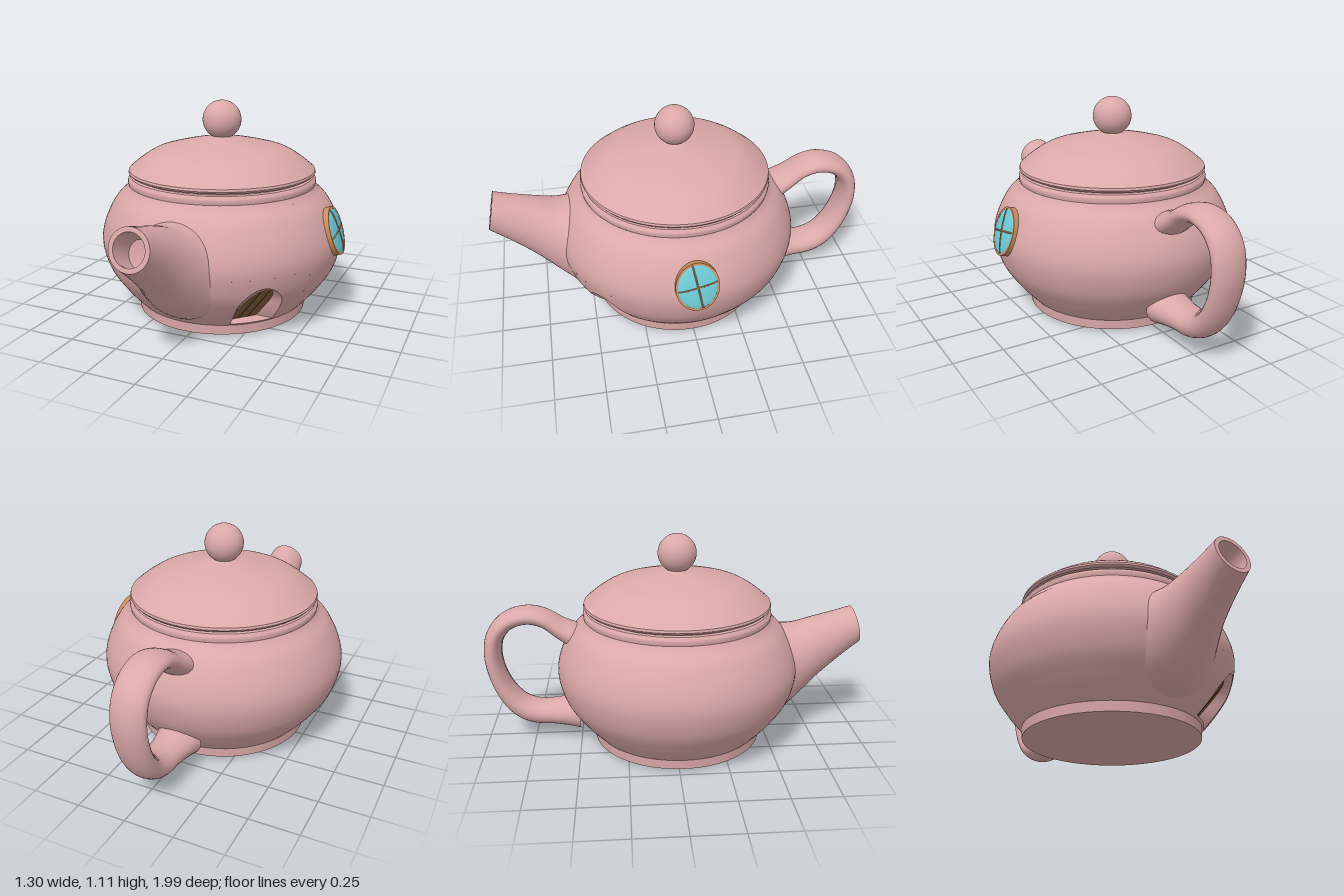
import * as THREE from 'three';
import { mergeGeometries, mergeVertices, toCreasedNormals } from 'three/addons/utils/BufferGeometryUtils.js';

const CX = -0.018, CZ = 0.022; // axis of the pot
const V3 = (x, y, z) => new THREE.Vector3(x, y, z);
const V2 = (x, y) => new THREE.Vector2(x, y);
const lerp = THREE.MathUtils.lerp;

function mat(name, hex) {
  const m = new THREE.MeshStandardMaterial({ color: hex });
  m.name = name;
  return m;
}

// Grid surface: point(i, j) returns a Vector3, outward side is u x v
function surface(nu, nv, point) {
  const pos = [], idx = [];
  for (let j = 0; j <= nv; j++) for (let i = 0; i <= nu; i++) pos.push(...point(i, j).toArray());
  for (let j = 0; j < nv; j++) for (let i = 0; i < nu; i++) {
    const a = j * (nu + 1) + i, b = a + 1, c = a + nu + 1, d = c + 1;
    idx.push(a, b, d, a, d, c);
  }
  const g = new THREE.BufferGeometry();
  g.setAttribute('position', new THREE.Float32BufferAttribute(pos, 3));
  g.setIndex(idx);
  return g;
}
function smooth(...parts) {
  const g = mergeVertices(mergeGeometries(parts), 1e-4);
  g.computeVertexNormals();
  return g;
}

// Bowl radius as a function of height
const bowl = new THREE.SplineCurve([
  [0.45, 0.062], [0.485, 0.1], [0.535, 0.16], [0.6, 0.26], [0.632, 0.385],
  [0.615, 0.49], [0.56, 0.6], [0.502, 0.66], [0.488, 0.682]].map(p => V2(...p))).getPoints(160);
function radius(y) {
  let k = 1;
  while (k < bowl.length - 1 && bowl[k].y < y) k++;
  const a = bowl[k - 1], b = bowl[k];
  return lerp(a.x, b.x, THREE.MathUtils.clamp((y - a.y) / (b.y - a.y), 0, 1));
}
function onBowl(deg, y) {
  const r = radius(y), a = THREE.MathUtils.degToRad(deg);
  return V3(CX + r * Math.sin(a), y, CZ + r * Math.cos(a));
}

// Arched outline in a -1..1 square, counter-clockwise from the bottom left
function archOutline() {
  const p = [];
  for (let i = 0; i < 12; i++) p.push(V2(-1 + i / 6, -1));
  for (let i = 0; i < 6; i++) p.push(V2(1, -1 + i / 6));
  for (let i = 0; i < 24; i++) p.push(V2(Math.cos(i * Math.PI / 24), Math.sin(i * Math.PI / 24)));
  for (let i = 0; i <= 6; i++) p.push(V2(-1, -i / 6));
  return p;
}

export function createModel() {
  const model = new THREE.Group();
  const clay = mat('pink clay', 0xdba8a8);
  const wood = mat('door wood', 0x83593a);
  const seam = mat('dark wood', 0x53361f);
  const trim = mat('window trim', 0xcc8c5c);
  const pane = mat('window glass', 0x6fcdd9);
  const add = (name, geo, m, parent = model) => {
    const mesh = new THREE.Mesh(geo, m);
    mesh.name = name;
    parent.add(mesh);
    return mesh;
  };

  // Foot, neck and lid are turned around the pot axis
  const turned = (name, pts, crease = 0.6) => {
    const g = new THREE.LatheGeometry(pts.map(p => V2(...p)), 80);
    add(name, toCreasedNormals(g, crease), clay).position.set(CX, 0, CZ);
  };
  turned('foot', [[0, 0], [0.447, 0.012], [0.45, 0.062]]);
  turned('neck', [[0.488, 0.682], [0.491, 0.695], [0.49, 0.708], [0.478, 0.723], [0.458, 0.725], [0.458, 0.738]]);
  const dome = new THREE.SplineCurve([[0.468, 0.77], [0.42, 0.808], [0.35, 0.85], [0.26, 0.877],
    [0.15, 0.902], [0.062, 0.917]].map(p => V2(...p))).getPoints(24).map(p => [p.x, p.y]);
  turned('lid', [[0.45, 0.734], [0.478, 0.734], [0.487, 0.745], [0.484, 0.757], ...dome, [0.05, 0.925], [0.045, 0.95]]);
  add('lidKnob', new THREE.SphereGeometry(0.1, 40, 28), clay).position.set(CX, 1.007, CZ);

  // Bowl with an arched doorway left open
  const arch = archOutline(), n = arch.length - 1;
  const mid = 44, half = 22, y0 = 0.062, yTop = 0.36, yEnd = 0.682;
  const wrap = surface(79, 40, (i, j) => onBowl(lerp(mid + half, mid - half + 360, i / 79), lerp(y0, yEnd, j / 40)));
  const above = surface(12, 24, (i, j) => onBowl(mid - half + 2 * half * i / 12, lerp(yTop, yEnd, j / 24)));
  const opening = p => {
    const h = (p.y + 1) / 2;
    return [mid - 1.5 + p.x * (14 - 4.5 * h), 0.073 + 0.235 * h];
  };
  const around = surface(n, 6, (i, j) => {
    const p = arch[i], k = Math.max(Math.abs(p.x), Math.abs(p.y)), o = opening(p);
    const t = j / 6;
    return onBowl(lerp(mid + half * p.x / k, o[0], t), lerp(lerp(y0, yTop, (p.y / k + 1) / 2), o[1], t));
  });
  add('bowl', smooth(wrap, above, around), clay);

  // Sunken door, standing at an angle inside the doorway
  const u = V3(0.54, -0.09, -0.83).normalize();
  const nrm = u.clone().cross(V3(0.59, 0.757, 0.27)).normalize();
  const v = nrm.clone().cross(u);
  const door = new THREE.Group();
  door.name = 'door';
  door.applyMatrix4(new THREE.Matrix4().makeBasis(u, v, nrm).setPosition(0.237, 0.083, 0.347));
  model.add(door);
  const flat = arch.map(p => V2(p.x * 0.082, (p.y + 1) / 2 * 0.265));
  const inner = flat.map(p => V3(p.x, p.y, 0).applyMatrix4(door.matrix));
  const jamb = surface(n, 1, (i, j) => j ? inner[i] : onBowl(...opening(arch[i])));
  const jambMesh = add('doorway', toCreasedNormals(smooth(jamb), 0.7), clay);
  jambMesh.material = clay;
  add('doorPanel', new THREE.ShapeGeometry(new THREE.Shape(flat.slice(0, n))), wood, door);
  for (const s of [-1, 1]) {
    add('plankSeam', new THREE.BoxGeometry(0.004, 0.25, 0.004), seam, door).position.set(s * 0.027, 0.126, 0);
  }

  // Spout: sections given by top point, bottom point (z, y) and half width
  const sections = [
    [0.40, 0.64, 0.40, 0.07, 0.26], [0.53, 0.612, 0.53, 0.105, 0.25], [0.64, 0.612, 0.66, 0.205, 0.185],
    [0.75, 0.643, 0.77, 0.31, 0.138], [0.86, 0.672, 0.895, 0.42, 0.112], [0.955, 0.698, 1.0, 0.505, 0.1]];
  const tops = new THREE.CatmullRomCurve3(sections.map(s => V3(0, s[1], s[0])));
  const bots = new THREE.CatmullRomCurve3(sections.map(s => V3(s[4], s[3], s[2])));
  const spoutPoint = (t, a, k = 1) => {
    const T = tops.getPoint(t), B = bots.getPoint(t), w = B.x * k, s = 0.5 + 0.5 * k * Math.sin(a);
    return V3(CX + w * Math.cos(a), lerp(B.y, T.y, s), lerp(B.z, T.z, s));
  };
  const turn = i => i / 40 * Math.PI * 2;
  add('spout', smooth(surface(40, 30, (i, j) => spoutPoint(j / 30, turn(i)))), clay);
  const lining = [[1, 1], [1, 0.77], [0.92, 0.72], [0.8, 0.55], [0.78, 0]];
  add('spoutMouth', toCreasedNormals(smooth(surface(40, 4,
    (i, j) => spoutPoint(lining[j][0], turn(i), lining[j][1]))), 0.7), clay);

  // Handle: flattened loop behind the bowl, flared where it joins
  const path = new THREE.CatmullRomCurve3([
    [-0.46, 0.55], [-0.58, 0.615], [-0.67, 0.675], [-0.76, 0.695], [-0.86, 0.665], [-0.925, 0.59], [-0.945, 0.49],
    [-0.93, 0.38], [-0.885, 0.27], [-0.82, 0.19], [-0.74, 0.152], [-0.64, 0.145], [-0.5, 0.145]].map(p => V3(CX, p[1], p[0])));
  const steps = 60, X = V3(1, 0, 0);
  add('handle', smooth(surface(28, steps, (i, j) => {
    const t = j / steps, a = i / 28 * Math.PI * 2;
    const N = path.getTangent(t).cross(X).normalize();
    const flare = Math.max(0, 1 - t / 0.16) ** 2 + Math.max(0, (t - 0.88) / 0.12) ** 2;
    const thick = lerp(0.046, 0.064, THREE.MathUtils.smoothstep(t, 0.55, 0.85)) + 0.03 * flare;
    return path.getPoint(t).addScaledVector(X, (0.09 + 0.03 * flare) * Math.cos(a)).addScaledVector(N, thick * Math.sin(a));
  })), clay);

  // Round window leaning against the left side
  const win = new THREE.Group();
  win.name = 'window';
  win.applyMatrix4(new THREE.Matrix4().makeBasis(V3(0, 0, -1), V3(-0.295, 0.955, 0), V3(0.955, 0.295, 0))
    .setPosition(0.61, 0.488, 0.024));
  model.add(win);
  const ring = new THREE.Shape().absellipse(0, 0, 0.107, 0.124, 0, Math.PI * 2);
  ring.holes.push(new THREE.Path().absellipse(0, 0, 0.096, 0.113, 0, Math.PI * 2, true));
  const frame = new THREE.ExtrudeGeometry(ring, { depth: 0.045, bevelEnabled: false, curveSegments: 32 });
  add('windowFrame', toCreasedNormals(frame, 0.6), trim, win).position.z = -0.045;
  const glass = add('windowGlass', new THREE.SphereGeometry(1, 36, 20), pane, win);
  glass.scale.set(0.1, 0.117, 0.016);
  glass.position.z = -0.005;
  for (const [name, len, rot] of [['crossBar', 0.1, 0.18], ['uprightBar', 0.117, 0.18 + Math.PI / 2]]) {
    const bar = new THREE.EllipseCurve(0, 0, len, 0.016, 0, Math.PI).getPoints(16).map(p => V3(p.x, 0, p.y - 0.005));
    add(name, new THREE.TubeGeometry(new THREE.CatmullRomCurve3(bar), 24, 0.004, 6), trim, win).rotation.z = rot;
  }
  return model;
}
